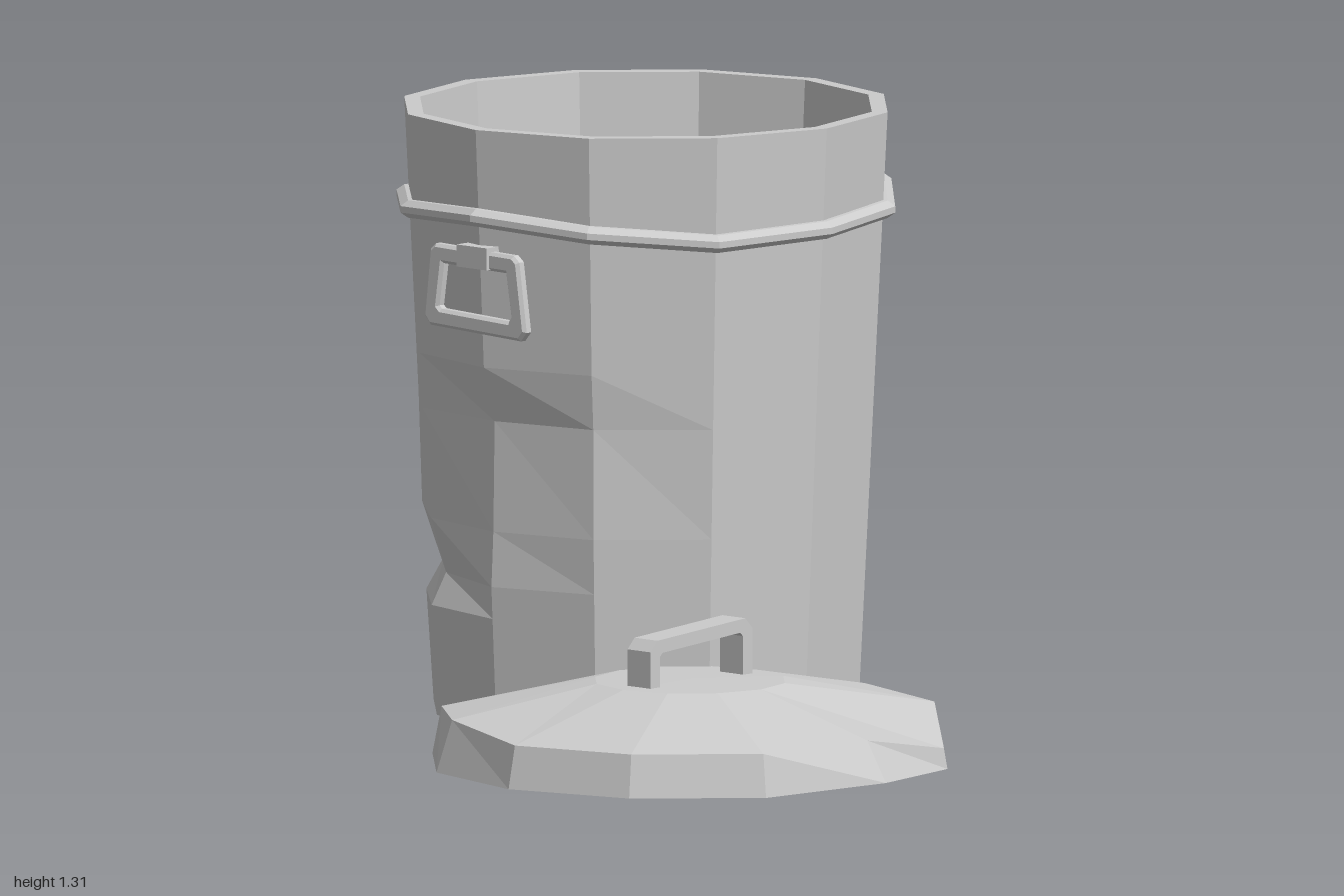
import * as THREE from 'three';

const SIDES = 12;
const grey = () => new THREE.MeshStandardMaterial({ color: 0xcccccc, flatShading: true });

// Skin of twelve-sided rings; each ring is a function i -> [radius, height]
function loft(name, rings) {
  const pos = [];
  const point = (j, i) => {
    const k = i % SIDES, a = (k / SIDES) * Math.PI * 2;
    const [r, y] = rings[j](k);
    return [r * Math.cos(a), y, r * Math.sin(a)];
  };
  const isCentre = (j) => rings[j](0)[0] === 0;
  for (let j = 0; j < rings.length - 1; j++) {
    for (let i = 0; i < SIDES; i++) {
      const a = point(j, i), b = point(j, i + 1), c = point(j + 1, i + 1), d = point(j + 1, i);
      if (!isCentre(j + 1)) pos.push(...a, ...d, ...c);
      if (!isCentre(j)) pos.push(...a, ...c, ...b);
      else continue;
      if (isCentre(j + 1)) continue;
    }
  }
  const geo = new THREE.BufferGeometry();
  geo.setAttribute('position', new THREE.Float32BufferAttribute(pos, 3));
  geo.computeVertexNormals();
  const mesh = new THREE.Mesh(geo, grey());
  mesh.name = name;
  return mesh;
}

const even = (r, y) => () => [r, y];
const polygon = (points, Type = THREE.Shape) => new Type(points.map(([x, y]) => new THREE.Vector2(x, y)));

// Corner numbers run from +x (0) through the front (3), -x (6) and the back (9)
function createBody() {
  // Wall levels, each with its dents: corner -> push along the radius
  const levels = [
    { y: 0, dents: {} },
    { y: 0.24, dents: { 5: 0.004, 6: 0.006 } },
    { y: 0.31, dents: { 4: -0.036, 5: -0.038, 6: 0.006 } },
    { y: 0.43, dents: { 3: -0.012, 4: -0.008, 5: 0.004 } },
    { y: 0.67, dents: { 3: -0.028, 2: -0.01, 8: -0.034, 9: -0.034, 10: -0.02 } },
    { y: 0.79, dents: { 8: 0.002, 9: 0.006 } },
    { y: 1.31, dents: {} },
  ];
  const wall = levels.map(({ y, dents }) => (i) => [0.47 + (0.065 * y) / 1.31 + (dents[i] || 0), y]);
  return loft('canBody', [
    even(0, 0), ...wall,
    even(0.5, 1.31), even(0.43, 0.04), even(0, 0.04),
  ]);
}

// Uneven raised hoop below the rim
function createBand() {
  const heights = [1.09, 1.08, 1.1, 1.12, 1.105, 1.1, 1.08, 1.09, 1.11, 1.13, 1.12, 1.1];
  const profile = [[0.515, -0.022], [0.535, -0.02], [0.552, -0.008], [0.552, 0.006], [0.535, 0.018], [0.515, 0.02]];
  return loft('hoopBand', profile.map(([r, dy]) => (i) => [r, heights[i] + dy]));
}

// Bail handle hanging from a bracket on the wall
function createSideHandle(name) {
  const handle = new THREE.Group();
  handle.name = name;
  const shape = polygon([
    [-0.115, 1.045], [0.11, 1.04], [0.122, 1.03], [0.143, 0.885],
    [0.13, 0.87], [-0.13, 0.88], [-0.143, 0.895], [-0.127, 1.035],
  ]);
  shape.holes.push(polygon([
    [-0.1, 1.018], [-0.115, 0.915], [-0.103, 0.904], [0.102, 0.896], [0.113, 0.91], [0.096, 1.014],
  ], THREE.Path));
  const geo = new THREE.ExtrudeGeometry(shape, {
    depth: 0.014, bevelEnabled: true, bevelThickness: 0.007, bevelSize: 0.007, bevelSegments: 1,
  });
  geo.translate(0, 0, 0.52);
  const loop = new THREE.Mesh(geo, grey());
  loop.name = 'handleLoop';
  const bracket = new THREE.Mesh(new THREE.BoxGeometry(0.09, 0.048, 0.06), grey());
  bracket.position.set(0, 1.034, 0.518);
  bracket.name = 'handleBracket';
  handle.add(loop, bracket);
  return handle;
}

function createLid() {
  const lid = new THREE.Group();
  lid.name = 'lid';
  lid.position.set(0.415, 0, 0.38);

  // Bent rim and shallow cone
  const bottomY = { 0: 0.058, 9: 0.065, 10: 0.06, 11: 0.05 };
  const edgeY = { 0: 0.145, 4: 0.16, 5: 0.15, 6: 0.13, 9: 0.16, 10: 0.155, 11: 0.095 };
  const edgeR = { 0: 0.525, 11: 0.562, 4: 0.535, 3: 0.55 };
  lid.add(loft('lidCover', [
    even(0, 0.06),
    (i) => [i === 0 ? 0.58 : 0.57, bottomY[i] || 0.047],
    (i) => [edgeR[i] || 0.55, edgeY[i] || 0.14],
    even(0.21, 0.225),
    even(0, 0.228),
  ]));

  // Strap grip, drawn side-on and extruded across its width
  const grip = polygon([
    [-0.16, 0.2], [-0.16, 0.305], [-0.138, 0.328], [0.138, 0.348], [0.16, 0.325], [0.16, 0.2],
    [0.13, 0.2], [0.13, 0.31], [0.122, 0.318], [-0.122, 0.3], [-0.13, 0.292], [-0.13, 0.2],
  ]);
  const geo = new THREE.ExtrudeGeometry(grip, { depth: 0.068, bevelEnabled: false });
  geo.translate(0, 0, -0.034);
  geo.rotateY(Math.PI / 2);
  const gripMesh = new THREE.Mesh(geo, grey());
  gripMesh.name = 'lidGrip';
  lid.add(gripMesh);
  return lid;
}

export function createModel() {
  const model = new THREE.Group();
  model.name = 'dentedBin';
  const can = new THREE.Group();
  can.name = 'can';
  can.position.set(-0.45, 0, -0.4);
  const backHandle = createSideHandle('backHandle');
  backHandle.rotation.y = Math.PI;
  can.add(createBody(), createBand(), createSideHandle('frontHandle'), backHandle);
  model.add(can, createLid());
  return model;
}
